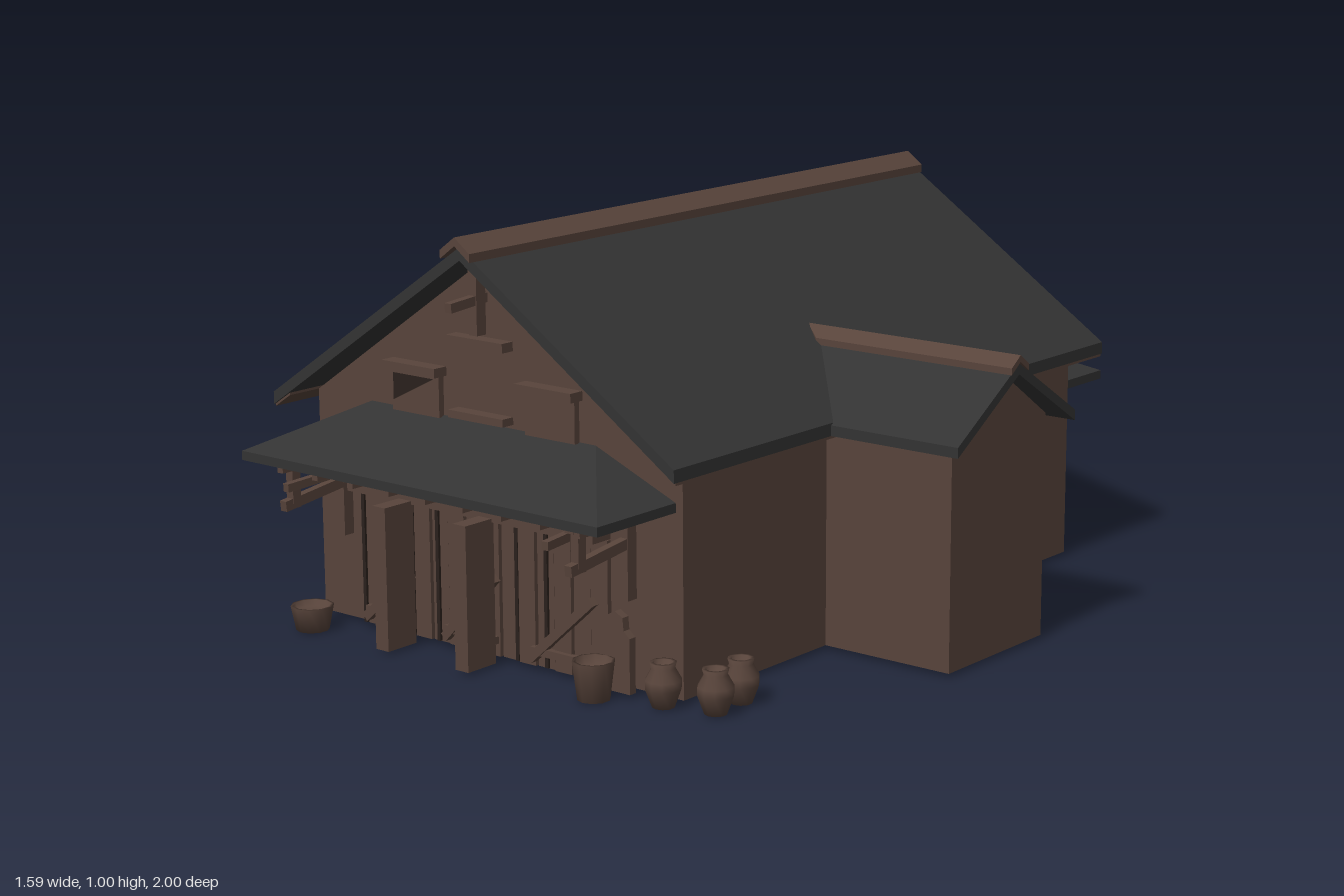
import * as THREE from 'three';

const mat = (name, color) => new THREE.MeshStandardMaterial({ name, color, side: THREE.DoubleSide });
const V = (p) => new THREE.Vector3(...p);

export function createModel() {
  const wood = mat('brown wood', 0x58443b);
  const slate = mat('dark roof', 0x333333);
  const dark = mat('dark opening', 0x2a201c);
  const root = new THREE.Group();
  root.name = 'barn';

  const group = (name, parent = root) => {
    const g = new THREE.Group();
    g.name = name;
    parent.add(g);
    return g;
  };
  const add = (name, geo, m, parent = root) => {
    const mesh = new THREE.Mesh(geo, m);
    mesh.name = name;
    parent.add(mesh);
    return mesh;
  };
  const box = (name, x, y, z, w, h, d, m = wood, parent = root) => {
    const b = add(name, new THREE.BoxGeometry(w, h, d), m, parent);
    b.position.set(x, y, z);
    return b;
  };
  // square timber running from a to b
  const beam = (name, a, b, w, h, parent = root) => {
    const p = V(a), q = V(b);
    const m = add(name, new THREE.BoxGeometry(w, h, p.distanceTo(q)), wood, parent);
    m.position.copy(p).add(q).multiplyScalar(0.5);
    m.lookAt(q);
    return m;
  };
  // flat faces, each a convex loop of corners
  const faces = (loops) => {
    const pos = [];
    for (const f of loops)
      for (let i = 1; i < f.length - 1; i++) pos.push(...f[0], ...f[i], ...f[i + 1]);
    const g = new THREE.BufferGeometry();
    g.setAttribute('position', new THREE.Float32BufferAttribute(pos, 3));
    g.computeVertexNormals();
    return g;
  };
  // sheet with vertical thickness t; corners run anticlockwise seen from above
  const slab = (name, top, t, m, parent = root) => {
    const low = top.map(([x, y, z]) => [x, y - t, z]);
    const sides = top.map((p, i) => {
      const j = (i + 1) % top.length;
      return [p, low[i], low[j], top[j]];
    });
    return add(name, faces([top, [...low].reverse(), ...sides]), m, parent);
  };

  // main walls, open underneath
  const cx = -0.18, L = -0.74, R = 0.39, F = 0.74, B = -0.81, y0 = 0.01, ye = 0.56;
  const gable = (z) => [[L, y0, z], [R, y0, z], [R, ye, z], [cx, 0.94, z], [L, ye, z]];
  const side = (x) => [[x, y0, F], [x, y0, B], [x, ye, B], [x, ye, F]];
  add('mainWalls', faces([gable(F), gable(B).reverse(), side(R), side(L).reverse()]), wood);

  // side wing walls
  const wx = 0.74, wf = 0.22, wb = -0.16, wc = 0.03;
  add('wingWalls', faces([
    [[wx, y0, wf], [wx, y0, wb], [wx, 0.55, wb], [wx, 0.68, wc], [wx, 0.55, wf]],
    [[R, y0, wf], [wx, y0, wf], [wx, 0.55, wf], [R, 0.55, wf]],
    [[wx, y0, wb], [R, y0, wb], [R, 0.55, wb], [wx, 0.55, wb]],
  ]), wood);

  // main roof, soffits and ridge cap
  const rf = 0.83, rb = -0.89;
  for (const s of [1, -1]) {
    const e = cx + s * 0.62, c = cx + s * 0.045, i = cx + s * 0.57;
    const strip = (x1, ya, x2, yb, za, zb) => {
      const p = [[x1, ya, za], [x2, yb, za], [x2, yb, zb], [x1, ya, zb]];
      return s > 0 ? p : p.reverse();
    };
    slab('roofSlope', strip(cx, 0.975, e, 0.56, rf, rb), 0.03, slate);
    slab('eaveSoffit', strip(i, 0.563, e, 0.53, rf - 0.005, rb + 0.005), 0.006, wood);
    slab('ridgeCap', strip(cx, 1.0, c, 0.967, 0.845, rb - 0.003), 0.02, wood);
  }

  // wing roof, running back into the main slope
  for (const s of [1, -1]) {
    const z = wc + s * 0.24;
    const order = (p) => (s > 0 ? p : p.reverse());
    slab('wingRoofSlope', order([[0.2, 0.705, wc], [0.43, 0.555, z], [0.79, 0.555, z], [0.79, 0.705, wc]]), 0.025, slate);
    slab('wingRidgeCap', order([[0.19, 0.725, wc], [0.24, 0.7, wc + s * 0.035], [0.793, 0.7, wc + s * 0.035], [0.793, 0.725, wc]]), 0.016, wood);
  }

  // hipped canopy, measured outward from the wall
  const canopy = (name, z, scale) => {
    const g = group(name);
    g.position.z = z;
    g.scale.z = scale;
    const a = [-0.73, 0.458, 0.26], b = [0.37, 0.458, 0.26], c = [0.14, 0.552, 0], d = [-0.56, 0.556, 0];
    slab('canopyFront', [d, a, b, c], 0.022, slate, g);
    slab('canopyLeftHip', [c, b, [0.37, 0.458, 0]], 0.022, slate, g);
    slab('canopyRightHip', [d, [-0.73, 0.458, 0], a], 0.022, slate, g);
    box('canopyPlate', -0.18, 0.428, 0.18, 1.0, 0.02, 0.03, wood, g);
    for (let i = 0; i < 9; i++) box('rafter', -0.635 + i * 0.115, 0.423, 0.105, 0.018, 0.02, 0.25, wood, g);
    for (const s of [1, -1]) {
      const x = -0.2 + s * 0.445;
      box('bracketPost', x, 0.325, 0.015, 0.022, 0.21, 0.03, wood, g);
      beam('bracketBrace', [x, 0.26, 0.02], [x, 0.425, 0.18], 0.02, 0.025, g);
      box('bracketArm', x, 0.425, 0.1, 0.025, 0.025, 0.22, wood, g);
      box('bracketDrop', x, 0.37, 0.18, 0.022, 0.1, 0.025, wood, g);
      beam('cornerBrace', [x, 0.345, 0.18], [x - s * 0.09, 0.432, 0.18], 0.018, 0.02, g);
    }
  };
  canopy('frontCanopy', F, 1);
  canopy('backCanopy', B, -0.73);

  // gable timbers and upper windows
  const gableTrim = (name, z, s) => {
    const g = group(name);
    g.position.z = z;
    g.scale.z = s;
    box('kingPost', -0.19, 0.845, 0.025, 0.025, 0.16, 0.03, wood, g);
    beam('kingBrace', [-0.19, 0.79, 0.03], [-0.19, 0.9, 0.085], 0.02, 0.022, g);
    box('loftLintel', -0.193, 0.745, 0.018, 0.175, 0.022, 0.036, wood, g);
    box('loftSill', -0.193, 0.572, 0.018, 0.17, 0.018, 0.036, wood, g);
    for (const x of [-0.4, 0.017]) {
      box('windowLintel', x, 0.66, 0.02, 0.17, 0.022, 0.04, wood, g);
      box('windowFrame', x, 0.6, 0.008, 0.15, 0.1, 0.016, wood, g);
    }
    add('windowOpening', faces([[[-0.47, 0.575, 0.018], [-0.34, 0.64, 0.018], [-0.47, 0.64, 0.018]]]), dark, g);
  };
  gableTrim('frontGable', F, 1);
  gableTrim('backGable', B, -1);

  // plank doors under the front canopy
  const doors = group('doors');
  box('doorLintel', -0.205, 0.362, F + 0.03, 0.77, 0.036, 0.06, wood, doors);
  for (let i = 0; i < 14; i++)
    box('plank', -0.555 + i * 0.055, 0.177, F + 0.006 + (i % 2) * 0.005, 0.05, 0.334, 0.012, wood, doors);
  for (const x of [-0.583, -0.42, -0.34, -0.09, 0.0])
    box('doorGap', x, 0.177, F + 0.016, 0.01, 0.33, 0.006, dark, doors);
  for (const [x1, x2, y2] of [[-0.57, -0.42, 0.16], [-0.31, -0.15, 0.2], [-0.04, 0.15, 0.2]]) {
    beam('doorBrace', [x1, 0.03, F + 0.025], [x2, y2, F + 0.025], 0.02, 0.022, doors);
    box('doorRail', (x1 + x2) / 2, 0.05, F + 0.022, x2 - x1, 0.018, 0.016, wood, doors);
  }
  for (const x of [-0.4, -0.145]) box('doorPost', x, 0.18, 0.84, 0.04, 0.345, 0.092, wood, doors);

  // plank leaning by the wing
  beam('leaningPlank', [0.405, 0.19, -0.17], [0.405, 0.02, -0.37], 0.018, 0.025);

  // jars, tubs and an upright board
  const lathe = (name, prof, x, z) => {
    const m = add(name, new THREE.LatheGeometry(prof.map(([r, y]) => new THREE.Vector2(r, y)), 10), wood);
    m.position.set(x, 0, z);
  };
  const jar = [[0, 0.002], [0.026, 0.002], [0.042, 0.045], [0.042, 0.065], [0.027, 0.092], [0.031, 0.105], [0.022, 0.105], [0.02, 0.09], [0, 0.09]];
  const tub = [[0, 0], [0.04, 0], [0.052, 0.06], [0.045, 0.06], [0.04, 0.045], [0, 0.045]];
  for (const [x, z] of [[0.365, 0.78], [0.485, 0.745], [0.48, 0.65]]) lathe('jar', jar, x, z);
  lathe('tub', tub, -0.67, 0.85);
  lathe('tallTub', tub.map(([r, y]) => [r * 0.95, y * 1.5]), 0.205, 0.83);
  const board = new THREE.Shape([[-0.042, 0.01], [0.042, 0.01], [0.042, 0.14], [0.025, 0.155], [0.022, 0.185], [0, 0.197], [-0.022, 0.185], [-0.025, 0.155], [-0.042, 0.14]].map((p) => new THREE.Vector2(...p)));
  const plate = add('uprightBoard', new THREE.ExtrudeGeometry(board, { depth: 0.02, bevelEnabled: false }), wood);
  plate.position.set(0.23, 0, 0.765);
  return root;
}
